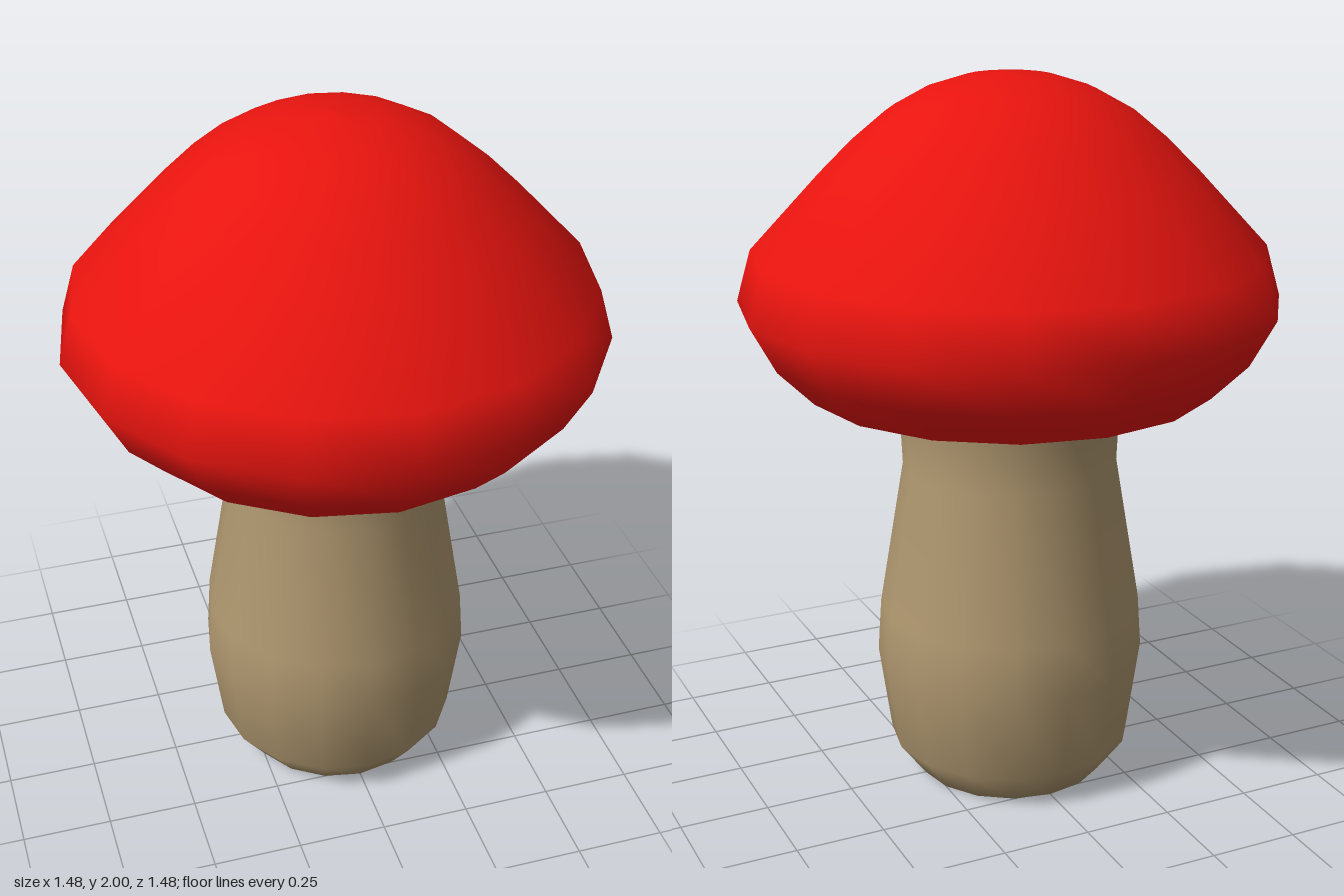
import * as THREE from 'three';

const SIDES = 16;

// Smooth turned part from [radius, height] pairs, bottom to top
function turned(name, profile, color) {
  const points = profile.map(([r, y]) => new THREE.Vector2(r, y));
  const mesh = new THREE.Mesh(
    new THREE.LatheGeometry(points, SIDES),
    new THREE.MeshStandardMaterial({ color })
  );
  mesh.name = name;
  return mesh;
}

export function createModel() {
  const mushroom = new THREE.Group();
  mushroom.name = 'mushroom';

  // Bulbous stem, flaring at the top into the hollow underside of the cap
  mushroom.add(turned('stemAndUnderside', [
    [0, 0], [0.27, 0], [0.345, 0.1], [0.38, 0.35], [0.37, 0.5],
    [0.3, 0.92], [0.31, 1.14], [0.36, 1.24], [0.48, 1.23], [0.57, 1.16],
  ], 0xb09870));

  // Domed cap with a rim that tucks inward
  mushroom.add(turned('cap', [
    [0.57, 1.16], [0.67, 1.26], [0.74, 1.39], [0.7, 1.53], [0.51, 1.735],
    [0.42, 1.825], [0.33, 1.9], [0.23, 1.955], [0.12, 1.99], [0, 2],
  ], 0xe8140f));

  return mushroom;
}
